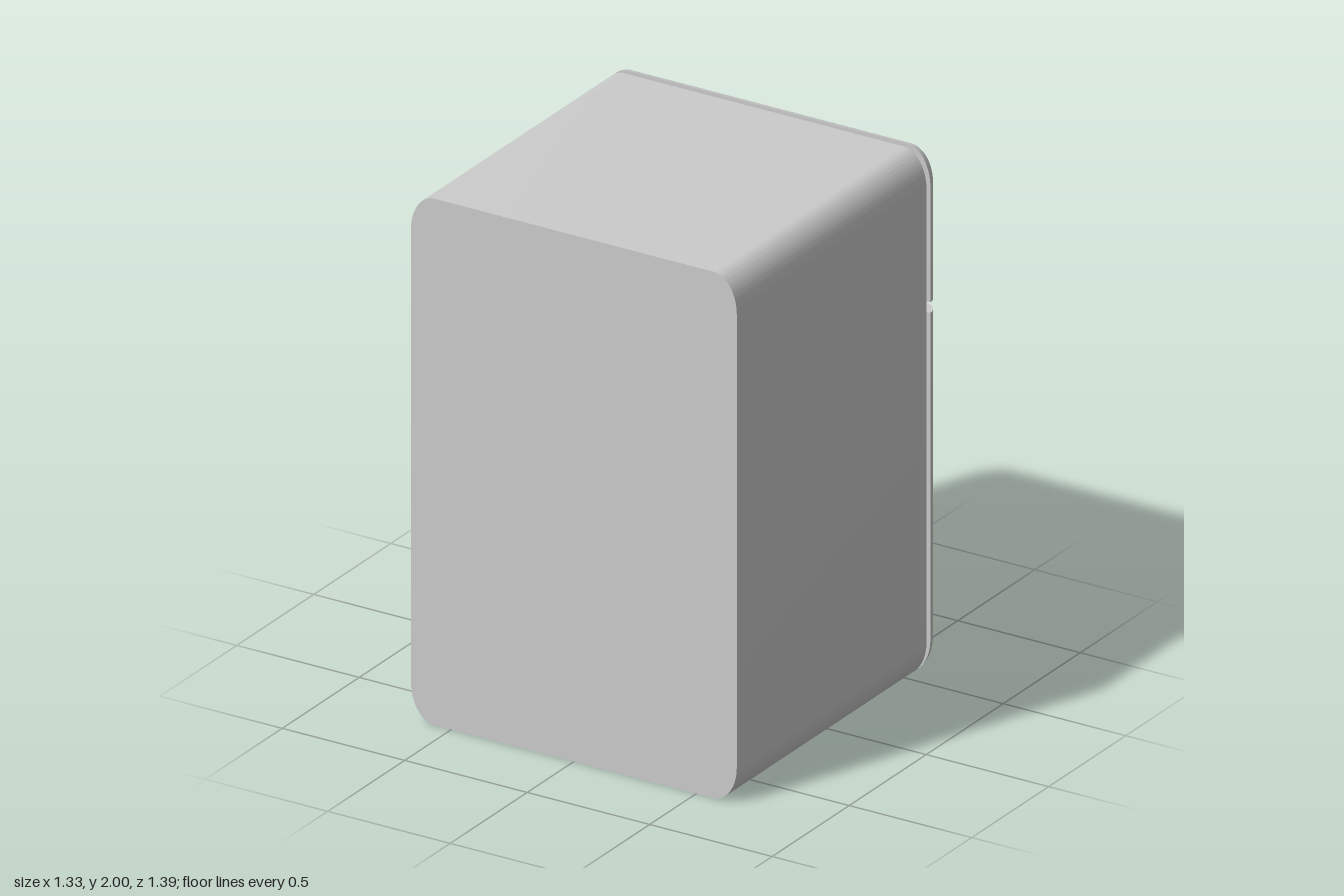
import * as THREE from 'three';
import { toCreasedNormals } from 'three/addons/utils/BufferGeometryUtils.js';

const grey = new THREE.MeshStandardMaterial({ color: 0xcccccc });
const dark = new THREE.MeshStandardMaterial({ color: 0x505050 });
const HALF_W = 0.665, RX = 0.095, RY = 0.14, STEPS = 12;

// Rounded slab with elliptical corners, running from z0 to z1
function slab(name, halfW, y0, y1, rx, ry, z0, z1) {
  const s = new THREE.Shape();
  const arc = (x, y, a) => s.absellipse(x, y, rx, ry, a, a + Math.PI / 2, false, 0);
  s.moveTo(halfW, y0 + ry);
  arc(halfW - rx, y1 - ry, 0);
  arc(-halfW + rx, y1 - ry, Math.PI / 2);
  arc(-halfW + rx, y0 + ry, Math.PI);
  arc(halfW - rx, y0 + ry, Math.PI * 1.5);
  const geo = new THREE.ExtrudeGeometry(s, { depth: z1 - z0, bevelEnabled: false, curveSegments: STEPS });
  geo.translate(0, 0, z0);
  const mesh = new THREE.Mesh(toCreasedNormals(geo, 0.6), grey);
  mesh.name = name;
  return mesh;
}

// Door with domed outer edges and one straight edge at cutY; dir is +1 when it rounds over upward
function door(name, cutY, endY, dir) {
  const zBack = -0.56, depth = 0.075, cy = endY - dir * RY, cx = HALF_W - RX;
  const rings = [];
  const midY = (cutY + endY) / 2;
  const count = 2 * (STEPS + 1) + 2;
  rings.push(Array.from({ length: count }, () => [0, midY, zBack]));
  for (let i = 0; i <= STEPS; i++) {
    const phi = (i / STEPS) * Math.PI / 2;
    const k = Math.cos(phi), z = zBack - depth * Math.sin(phi);
    const ring = [[cx + RX * k, cutY, z]];
    for (const side of [1, -1]) {
      for (let j = 0; j <= STEPS; j++) {
        const a = (side > 0 ? j : STEPS - j) / STEPS * Math.PI / 2;
        ring.push([side * (cx + RX * k * Math.cos(a)), cy + dir * RY * k * Math.sin(a), z]);
      }
    }
    ring.push([-cx - RX * k, cutY, z]);
    rings.push(ring);
  }
  rings.push(Array.from({ length: count }, () => [0, midY, zBack - depth]));

  const index = [];
  for (let i = 0; i < rings.length - 1; i++) {
    for (let j = 0; j < count; j++) {
      const a = i * count + j, b = i * count + (j + 1) % count;
      const c = a + count, d = b + count;
      if (dir > 0) index.push(a, c, b, b, c, d);
      else index.push(a, b, c, b, d, c);
    }
  }
  const geo = new THREE.BufferGeometry();
  geo.setAttribute('position', new THREE.Float32BufferAttribute(rings.flat(2), 3));
  geo.setIndex(index);
  const mesh = new THREE.Mesh(toCreasedNormals(geo, 0.6), grey);
  mesh.name = name;
  return mesh;
}

// Half-ring handle, flattened in depth and widened sideways
function handle(name, x, y) {
  const geo = new THREE.TorusGeometry(0.096, 0.02, 10, 24, Math.PI);
  geo.rotateZ(Math.PI / 2);
  geo.rotateY(-Math.PI / 2);
  geo.scale(1.8, 1, 0.54);
  // The arc must bulge away from the door, towards -z
  geo.computeBoundingBox();
  if (geo.boundingBox.max.z > -geo.boundingBox.min.z) geo.rotateY(Math.PI);
  const mesh = new THREE.Mesh(geo, dark);
  mesh.name = name;
  mesh.position.set(x, y, -0.633);
  return mesh;
}

export function createModel() {
  const model = new THREE.Group();
  model.name = 'refrigerator';

  model.add(slab('cabinet', HALF_W, 0, 2, RX, RY, -0.535, 0.697));
  model.add(slab('doorSeal', 0.62, 0.07, 1.93, 0.07, 0.1, -0.565, -0.53));

  // Strip behind the gap between the doors
  const strip = new THREE.Mesh(new THREE.BoxGeometry(1.24, 0.06, 0.03), grey);
  strip.name = 'dividerStrip';
  strip.position.set(0, 1.4, -0.575);
  model.add(strip);

  model.add(door('freezerDoor', 1.42, 2, 1));
  model.add(door('mainDoor', 1.38, 0, -1));
  model.add(handle('freezerHandle', -0.412, 1.655));
  model.add(handle('mainHandle', -0.425, 1.055));
  return model;
}
